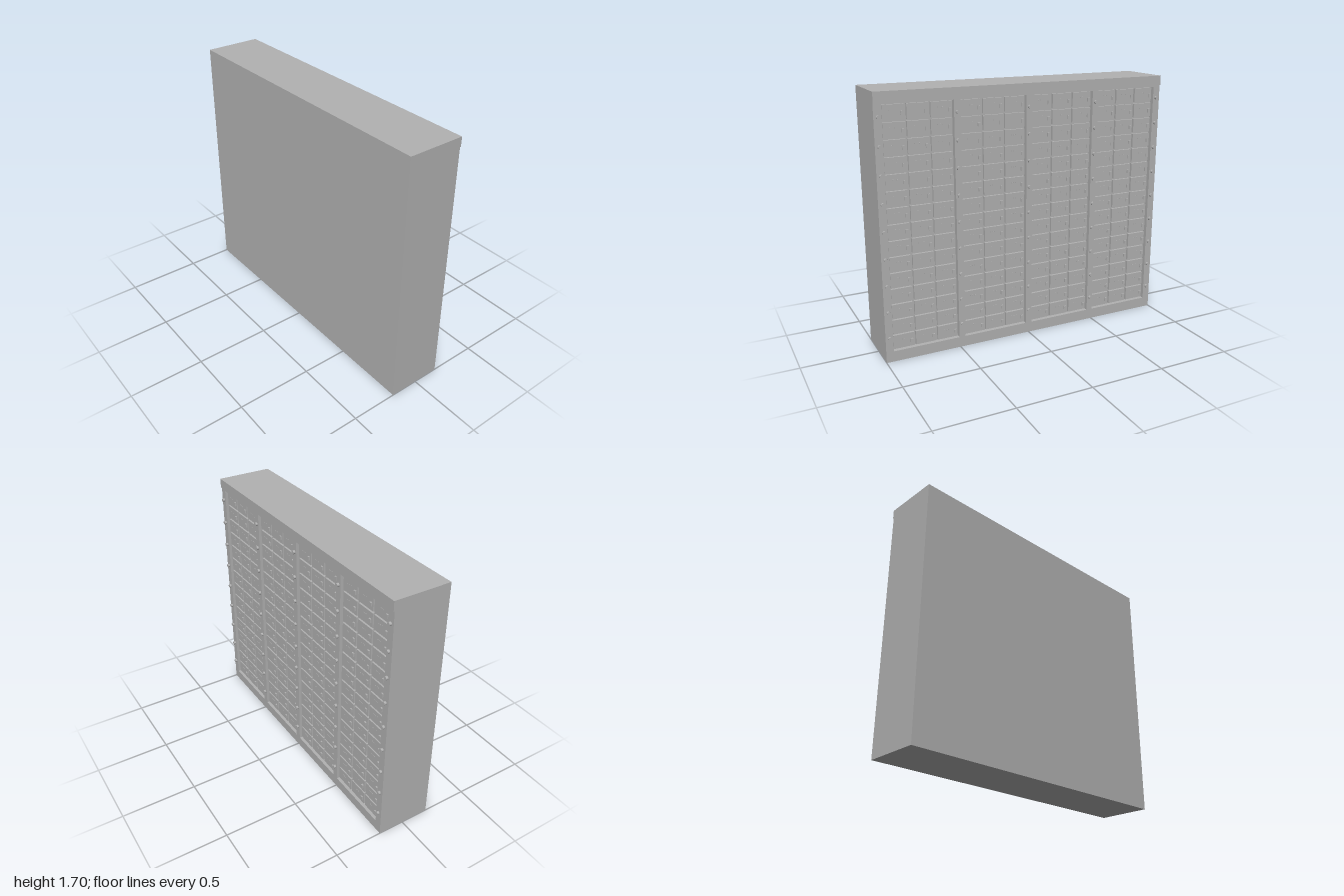
import * as THREE from 'three';
import { mergeGeometries } from 'three/addons/utils/BufferGeometryUtils.js';

const W = 2, H = 1.695, FRONT = 0.1915;
const FLOOR = -0.143;   // bottom of the recesses
const FACE = -0.177;    // outer face of the door side
const BAY_W = 0.443, BAY_Y0 = 0.07, BAY_Y1 = 1.62;
const BAY_X = [0.729, 0.243, -0.243, -0.729];
const COLS = 3, ROWS = 15;

// box given by centre x, y and its z range
function box(w, h, x, y, z0, z1) {
  return new THREE.BoxGeometry(w, h, Math.abs(z1 - z0)).translate(x, y, (z0 + z1) / 2);
}

export function createModel() {
  const model = new THREE.Group();
  const metal = new THREE.MeshStandardMaterial({ color: 0xb2b2b2 });
  metal.name = 'grey metal';
  const add = (name, geometries) => {
    const mesh = new THREE.Mesh(mergeGeometries(geometries), metal);
    mesh.name = name;
    model.add(mesh);
  };

  // cabinet body and the projecting top lip
  add('cabinet', [box(W, H, 0, H / 2, FRONT, FLOOR)]);
  add('topLip', [box(W, 0.062, 0, H - 0.031, FLOOR, -0.184)]);

  // face frame with four openings
  const outline = new THREE.Shape([
    new THREE.Vector2(-1, 0), new THREE.Vector2(1, 0),
    new THREE.Vector2(1, H - 0.062), new THREE.Vector2(-1, H - 0.062),
  ]);
  for (const x of BAY_X) {
    const a = x - BAY_W / 2, b = x + BAY_W / 2;
    outline.holes.push(new THREE.Path([
      new THREE.Vector2(a, BAY_Y0), new THREE.Vector2(a, BAY_Y1),
      new THREE.Vector2(b, BAY_Y1), new THREE.Vector2(b, BAY_Y0),
    ]));
  }
  add('faceFrame', [
    new THREE.ExtrudeGeometry(outline, { depth: FLOOR - FACE, bevelEnabled: false }).translate(0, 0, FACE),
  ]);

  // rows of small doors, each with a number plate and a lock
  const doors = [], plates = [], locks = [];
  const pw = BAY_W / COLS, ph = (BAY_Y1 - BAY_Y0) / ROWS, doorZ = -0.16;
  for (const bx of BAY_X) {
    for (let c = 0; c < COLS; c++) {
      for (let r = 0; r < ROWS; r++) {
        const x = bx + (c - 1) * pw, y = BAY_Y0 + (r + 0.5) * ph;
        doors.push(box(pw - 0.012, ph - 0.012, x, y, FLOOR, doorZ));
        for (let i = 0; i < 3; i++) {
          plates.push(box(0.008, 0.006, x + 0.022 - i * 0.014, y + 0.012, doorZ, doorZ - 0.002));
        }
        locks.push(box(0.016, 0.024, x - 0.05, y - 0.006, doorZ, doorZ - 0.009));
      }
    }
  }
  add('doors', doors);
  add('numberPlates', plates);
  add('locks', locks);

  // bolts along the uprights
  const bolts = [];
  for (const x of [-0.973, -0.486, 0, 0.486, 0.973]) {
    for (let i = 0; i < 9; i++) {
      bolts.push(new THREE.CylinderGeometry(0.012, 0.012, 0.0145, 12)
        .rotateX(Math.PI / 2).translate(x, 0.163 + i * 0.173, FACE - 0.00725));
    }
  }
  add('bolts', bolts);
  return model;
}
